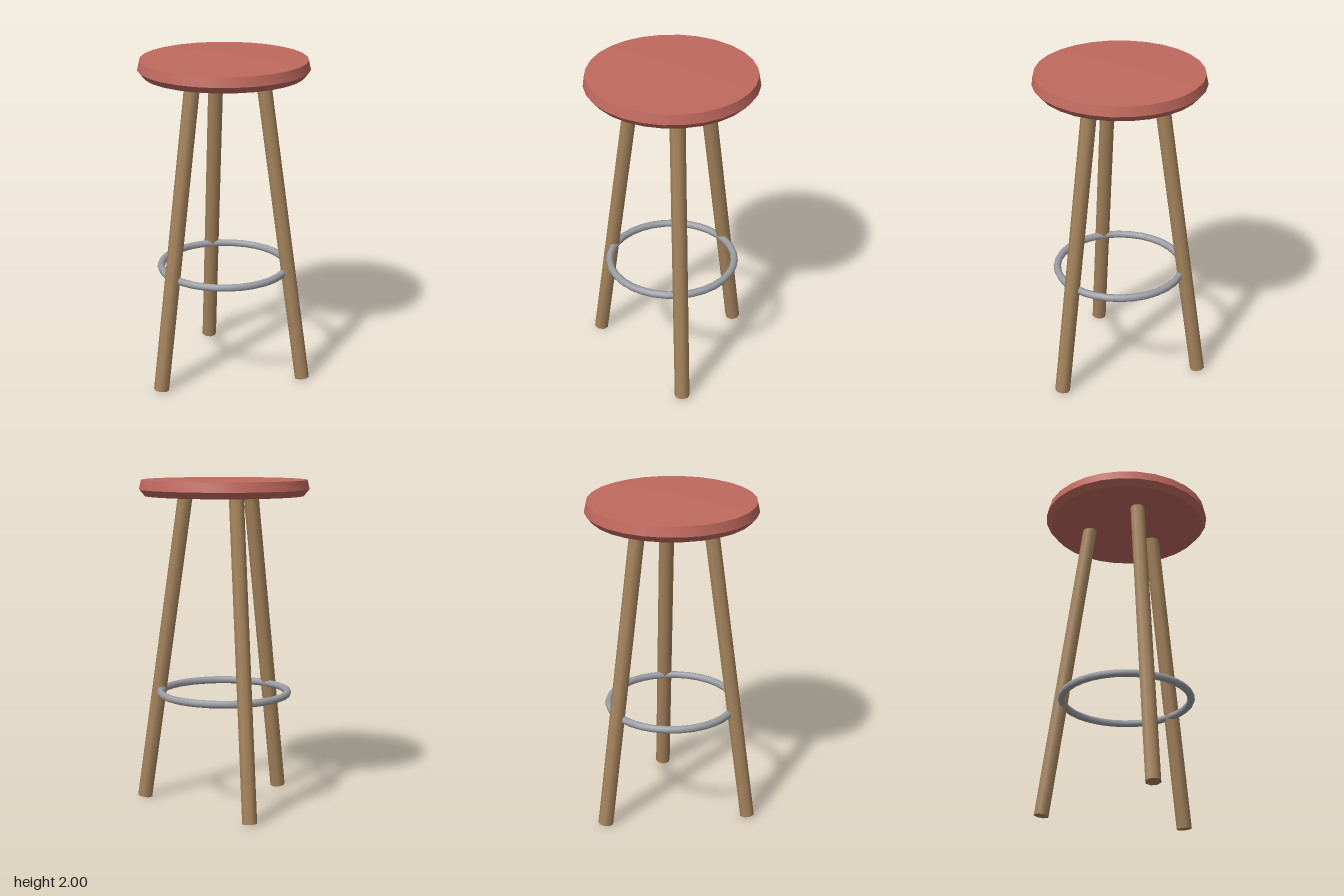
import * as THREE from 'three';
import { toCreasedNormals } from 'three/addons/utils/BufferGeometryUtils.js';

const material = (name, color) => {
  const m = new THREE.MeshStandardMaterial({ color });
  m.name = name;
  return m;
};

export function createModel() {
  const seatRed = material('seat red', 0xc0695e);
  const wood = material('wood', 0xa5845c);
  const metal = material('metal', 0x9b9ea4);

  const stool = new THREE.Group();
  stool.name = 'stool';
  const add = (name, geometry, mat) => {
    const mesh = new THREE.Mesh(geometry, mat);
    mesh.name = name;
    stool.add(mesh);
    return mesh;
  };

  // Round seat with bevelled underside and a very shallow crown
  const profile = [[0, 1.89], [0.478, 1.89], [0.51, 1.928], [0.497, 1.985], [0, 2]]
    .map(([r, y]) => new THREE.Vector2(r, y));
  add('seat', toCreasedNormals(new THREE.LatheGeometry(profile, 28), 0.5), seatRed);

  // Three splayed legs
  const legRadius = 0.046;
  const footRadius = 0.51;
  const topRadius = 0.236;
  const up = new THREE.Vector3(0, 1, 0);
  for (let i = 0; i < 3; i++) {
    const a = (i * Math.PI * 2) / 3;
    const at = (r, y) => new THREE.Vector3(Math.cos(a) * r, y, Math.sin(a) * r);
    const foot = at(footRadius, 0.007);
    const top = at(topRadius, 1.92);
    const axis = top.clone().sub(foot);
    const leg = add('leg' + (i + 1),
      new THREE.CylinderGeometry(legRadius, legRadius, axis.length(), 8), wood);
    leg.position.copy(foot).add(top).multiplyScalar(0.5);
    // turn the facets with the leg, then tilt it
    leg.quaternion.setFromUnitVectors(up, axis.normalize())
      .multiply(new THREE.Quaternion().setFromAxisAngle(up, -a));
  }

  // Footrest ring passing through the legs
  const ring = add('footrestRing', new THREE.TorusGeometry(0.388, 0.023, 8, 32), metal);
  ring.rotation.x = Math.PI / 2;
  ring.position.y = 0.695;

  // Centre the overall footprint
  stool.position.x = -0.024;
  return stool;
}
